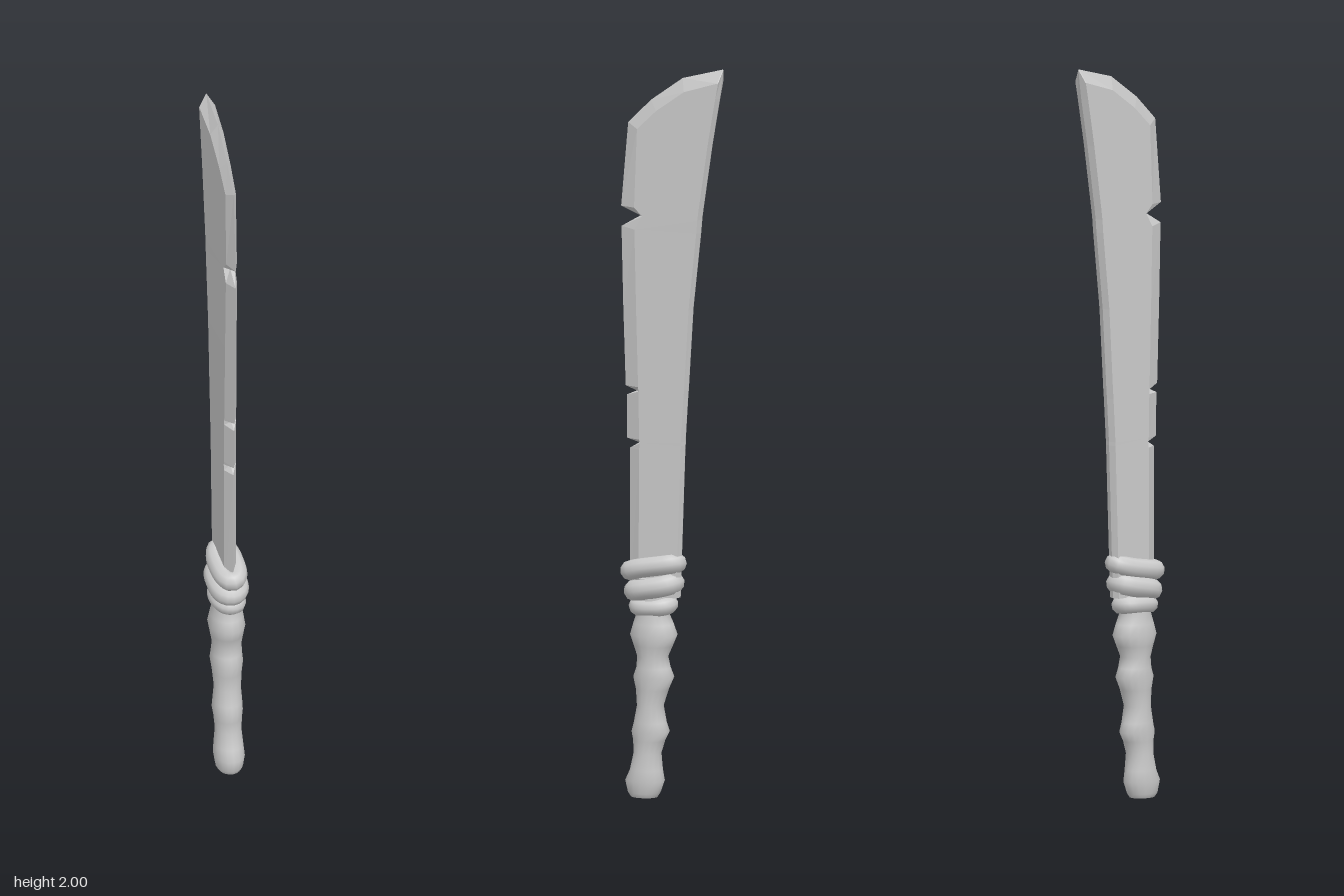
import * as THREE from 'three';

// Skin a stack of rings (each counterclockwise seen from above, going upwards), with closed ends.
function loft(rings) {
  const n = rings[0].length, index = [];
  for (let i = 0; i < rings.length - 1; i++) {
    for (let j = 0; j < n; j++) {
      const a = i * n + j, b = i * n + (j + 1) % n;
      index.push(a, b, b + n, a, b + n, a + n);
    }
  }
  const pos = rings.flat(2);
  // Caps get their own vertices so that their rim stays sharp
  [rings[0], rings[rings.length - 1]].forEach((ring, end) => {
    const start = pos.length / 3;
    pos.push(...ring.flat());
    for (let j = 1; j < n - 1; j++) {
      if (end) index.push(start, start + j, start + j + 1);
      else index.push(start, start + j + 1, start + j);
    }
  });
  const geo = new THREE.BufferGeometry();
  geo.setAttribute('position', new THREE.Float32BufferAttribute(pos, 3));
  geo.setIndex(index);
  geo.computeVertexNormals();
  return geo;
}

function addMesh(parent, name, geometry, material) {
  const mesh = new THREE.Mesh(geometry, material);
  mesh.name = name;
  parent.add(mesh);
}

export function createModel() {
  const model = new THREE.Group();
  model.name = 'machete';
  const flat = new THREE.MeshStandardMaterial({ color: 0xcccccc, flatShading: true });
  const smooth = new THREE.MeshStandardMaterial({ color: 0xcccccc });

  // Blade stations: cutting edge, bevel line and spine, each as z, y
  const stations = [
    [0.12, 0.55, 0.09, 0.55, -0.018, 0.55],
    [0.12, 0.95, 0.088, 0.95, -0.031, 0.95],
    [0.093, 0.967, 0.086, 0.967, -0.032, 0.967], // lower nick
    [0.128, 0.977, 0.088, 0.977, -0.032, 0.977],
    [0.129, 1.095, 0.09, 1.095, -0.039, 1.095],
    [0.1, 1.108, 0.09, 1.108, -0.04, 1.108], // middle nick
    [0.132, 1.12, 0.091, 1.12, -0.041, 1.12],
    [0.139, 1.34, 0.097, 1.34, -0.054, 1.34],
    [0.144, 1.555, 0.102, 1.55, -0.076, 1.55],
    [0.09, 1.587, 0.08, 1.587, -0.079, 1.587], // upper nick
    [0.145, 1.61, 0.103, 1.61, -0.082, 1.61],
    [0.125, 1.84, 0.095, 1.825, -0.108, 1.79],
    [0.06, 1.905, 0.04, 1.878, -0.118, 1.85],
    [-0.03, 1.97, -0.04, 1.935, -0.13, 1.92],
    [-0.144, 2, -0.136, 1.965, -0.138, 1.964],
  ];
  const bladeRings = stations.map(([ez, ey, bz, by, sz, sy], i) => {
    const tip = i === stations.length - 1;
    const s = 0.019 + 0.003 * (sy - 0.55) / 1.4; // half thickness at the spine
    const b = THREE.MathUtils.lerp(s, 0.015, (bz - sz) / 0.19);
    const ridge = tip ? [0, 1.999, -0.146] : [0, sy, sz - 0.006];
    return [[0, ey, ez], [b, by, bz], [s, sy, sz], ridge, [-s, sy, sz], [-b, by, bz]];
  });
  addMesh(model, 'blade', loft(bladeRings), flat);

  // Knobbly grip: height, centre z, half width, half depth
  const grip = [
    [0, 0.079, 0.03, 0.037], [0.012, 0.079, 0.037, 0.045], [0.045, 0.077, 0.042, 0.055],
    [0.075, 0.073, 0.04, 0.045], [0.12, 0.07, 0.036, 0.038], [0.155, 0.065, 0.038, 0.044],
    [0.18, 0.061, 0.041, 0.053], [0.205, 0.062, 0.04, 0.045], [0.25, 0.062, 0.037, 0.036],
    [0.295, 0.056, 0.04, 0.045], [0.33, 0.052, 0.044, 0.057], [0.355, 0.053, 0.042, 0.047],
    [0.385, 0.055, 0.04, 0.042], [0.415, 0.053, 0.045, 0.054], [0.445, 0.052, 0.05, 0.066],
    [0.475, 0.053, 0.045, 0.056], [0.505, 0.055, 0.04, 0.044], [0.6, 0.054, 0.036, 0.05],
  ];
  const sides = 16;
  const gripRings = grip.map(([y, zc, rx, rz]) => Array.from({ length: sides }, (_, j) => {
    const a = j / sides * Math.PI * 2;
    return [rx * Math.cos(a), y, zc - rz * Math.sin(a)];
  }));
  addMesh(model, 'grip', loft(gripRings), smooth);

  // Cord binding: tilted loops around the foot of the blade
  const binding = new THREE.Group();
  binding.name = 'binding';
  model.add(binding);
  // front height, back height, centre z, outer half width, outer half depth, cord radius
  const loops = [
    [0.522, 0.528, 0.053, 0.05, 0.068, 0.024],
    [0.562, 0.588, 0.051, 0.057, 0.084, 0.029],
    [0.615, 0.643, 0.053, 0.049, 0.094, 0.027],
  ];
  loops.forEach(([front, back, zc, rx, rz, r], k) => {
    const points = Array.from({ length: 16 }, (_, j) => {
      const a = j / 16 * Math.PI * 2, c = Math.cos(a), s = Math.sin(a);
      const y = (front + back) / 2 + s * (front - back) / 2 + 0.004 * c * (k - 1);
      const square = (v) => Math.sign(v) * Math.abs(v) ** 0.85;
      return new THREE.Vector3((rx - r) * square(c), y, zc + (rz - r) * square(s));
    });
    const path = new THREE.CatmullRomCurve3(points, true);
    addMesh(binding, 'cordLoop' + (k + 1), new THREE.TubeGeometry(path, 32, r, 10, true), smooth);
  });

  return model;
}
